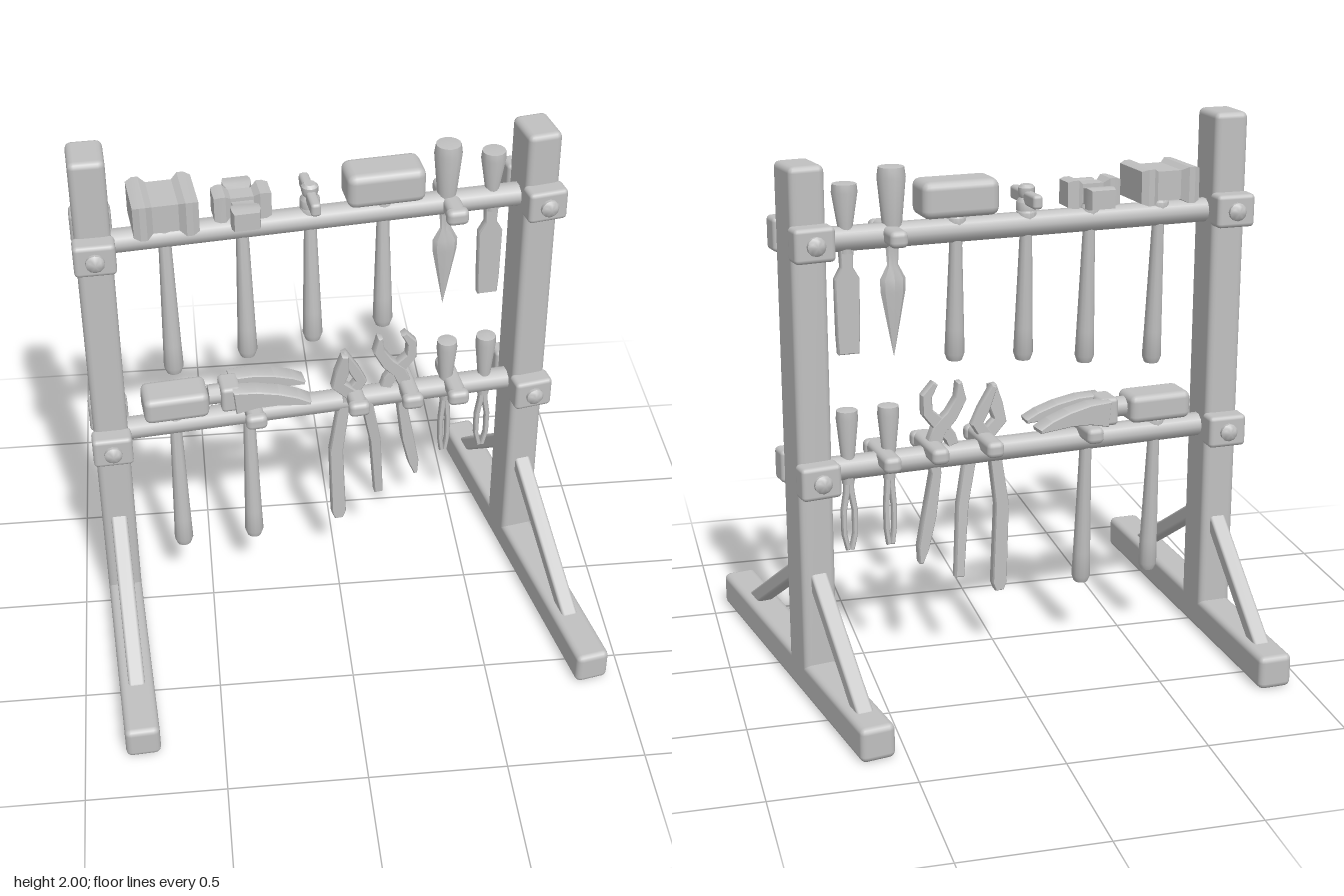
import * as THREE from 'three';
import { toCreasedNormals } from 'three/addons/utils/BufferGeometryUtils.js';
import { RoundedBoxGeometry } from 'three/addons/geometries/RoundedBoxGeometry.js';

const grey = new THREE.MeshStandardMaterial({ color: 0xc0c0c0 });
const UPPER = 1.64, LOWER = 0.82, SKEW = 0.114;
const barZ = (x) => -0.04 - 0.115 * (x + 0.845);

function add(parent, name, geometry, x = 0, y = 0, z = 0, rx = 0, ry = 0, rz = 0) {
  const m = new THREE.Mesh(geometry, grey);
  m.name = name;
  m.position.set(x, y, z);
  m.rotation.set(rx, ry, rz);
  parent.add(m);
  return m;
}
const block = (w, h, d, r = 0.015) => new RoundedBoxGeometry(w, h, d, 2, r);

// turned profile: [radius, y] from bottom to top
const turned = (pts, sides = 14) =>
  toCreasedNormals(new THREE.LatheGeometry(pts.map((p) => new THREE.Vector2(...p)), sides), 0.7);

// flat bar following [x, y, halfWidth] points, centred on z
function strip(pts, depth) {
  const left = [], right = [];
  pts.forEach(([x, y, w], i) => {
    const a = pts[Math.max(i - 1, 0)], b = pts[Math.min(i + 1, pts.length - 1)];
    const dx = b[0] - a[0], dy = b[1] - a[1], l = Math.hypot(dx, dy);
    left.push(new THREE.Vector2(x - (dy / l) * w, y + (dx / l) * w));
    right.unshift(new THREE.Vector2(x + (dy / l) * w, y - (dx / l) * w));
  });
  const g = new THREE.ExtrudeGeometry(new THREE.Shape([...left, ...right]), {
    depth: depth - 0.012, bevelThickness: 0.006, bevelSize: 0.004, bevelOffset: -0.003, bevelSegments: 1,
  });
  g.translate(0, 0, 0.006 - depth / 2);
  return toCreasedNormals(g, 0.6);
}

// head along x with flared, chamfered ends and a narrow waist
function flaredHead(w, h, d, waist) {
  const g = new THREE.BoxGeometry(w, h, d, 10, 1, 1), p = g.attributes.position;
  for (let i = 0; i < p.count; i++) {
    const t = Math.abs(p.getX(i)) / (w / 2);
    const s = t > 0.95 ? 0.88 : t > 0.5 ? 1 : waist;
    p.setY(i, p.getY(i) * s);
    p.setZ(i, p.getZ(i) * s);
  }
  return toCreasedNormals(g, 0.5);
}

// post with foot, braces and clamps
function buildStand(parent, name, x, z, turn, height) {
  const g = new THREE.Group();
  g.name = name;
  g.position.set(x, 0, z);
  g.rotation.y = turn;
  add(g, 'post', block(0.125, height - 0.04, 0.17, 0.022), 0, height / 2 + 0.02, 0);
  add(g, 'foot', block(0.125, 0.125, 1.48, 0.022), 0, 0.0625, 0.12);
  for (const [end, side] of [[0.62, 1], [-0.49, -1]]) {
    const z0 = side * 0.06, dz = end - z0, dy = 0.10 - 0.455;
    add(g, 'brace', block(0.06, 0.055, Math.hypot(dz, dy), 0.01),
      0, (0.10 + 0.455) / 2, (z0 + end) / 2, Math.atan2(-dy, dz));
  }
  for (const y of [1.655, 0.825]) for (const s of [1, -1]) {
    add(g, 'clamp', block(0.145, 0.12, 0.08, 0.016), 0, y, s * 0.107);
    add(g, 'bolt', turned([[0.033, 0], [0.033, 0.014], [0.022, 0.024], [0, 0.028]], 12),
      0, y, s * 0.145, s * Math.PI / 2);
  }
  parent.add(g);
}

// group for a tool standing on the rack line at x
function tool(parent, name, x) {
  const g = new THREE.Group();
  g.name = name;
  g.position.set(x, 0, barZ(x));
  g.rotation.y = SKEW;
  parent.add(g);
  return g;
}

// hammer handle hanging below a rail, with a collar above it
function hammerHandle(g, railY, bottom) {
  const L = railY - bottom;
  add(g, 'handle', turned([[0, -L], [0.027, -L], [0.036, -L + 0.025], [0.033, -L + 0.12], [0.023, -0.06],
    [0.023, 0.01], [0.036, 0.02], [0.036, 0.045], [0.025, 0.06], [0.025, 0.09], [0, 0.09]]), 0, railY, 0, -0.05);
}
const peg = (g, y, x = 0) => {
  add(g, 'peg', block(0.065, 0.06, 0.25, 0.02), x, y, 0);
  add(g, 'pegKnob', block(0.08, 0.06, 0.05, 0.02), x, y, 0.11);
};

export function createModel() {
  const root = new THREE.Group();
  root.name = 'toolRack';
  buildStand(root, 'rightStand', -0.845, -0.04, 0.065, 2.0);
  buildStand(root, 'leftStand', 0.72, -0.225, 0.197, 1.91);

  // rails
  for (const y of [UPPER, LOWER])
    add(root, 'rail', new THREE.CylinderGeometry(0.044, 0.044, 1.58, 10), -0.0625, y, barZ(-0.0625), 0, SKEW, Math.PI / 2);

  // upper row: four hammers
  let g = tool(root, 'sledgeHammer', -0.6);
  hammerHandle(g, UPPER, 1.075);
  add(g, 'head', flaredHead(0.225, 0.13, 0.21, 0.8), 0, 1.755, 0);

  g = tool(root, 'crossHammer', -0.33);
  hammerHandle(g, UPPER, 1.105);
  add(g, 'head', flaredHead(0.2, 0.1, 0.09, 0.68), 0, 1.738, 0);
  add(g, 'crossHead', flaredHead(0.25, 0.075, 0.1, 0.75), 0, 1.73, 0, 0, Math.PI / 2);

  g = tool(root, 'smallHammer', -0.09);
  hammerHandle(g, UPPER, 1.14);
  add(g, 'head', block(0.036, 0.05, 0.23, 0.012), 0, 1.735, 0);
  add(g, 'headCentre', turned([[0.036, 1.69], [0.036, 1.72], [0.025, 1.735], [0.03, 1.75], [0.03, 1.77], [0.02, 1.78], [0, 1.78]]));

  g = tool(root, 'mallet', 0.17);
  hammerHandle(g, UPPER, 1.165);
  add(g, 'head', block(0.28, 0.13, 0.15, 0.03), 0, 1.757, 0);

  // upper row: pointed and flat blades
  g = tool(root, 'pointTool', 0.4);
  add(g, 'handle', turned([[0, 1.6], [0.03, 1.6], [0.035, 1.68], [0.05, 1.84], [0.045, 1.875], [0, 1.88]]));
  add(g, 'blade', turned([[0, 1.205], [0.045, 1.44], [0.046, 1.485], [0.02, 1.535], [0.024, 1.6], [0, 1.6]], 8)).scale.z = 0.5;
  peg(g, 1.645, 0.01);

  g = tool(root, 'chisel', 0.565);
  add(g, 'handle', turned([[0, 1.59], [0.025, 1.59], [0.026, 1.68], [0.045, 1.8], [0.042, 1.828], [0, 1.832]]));
  add(g, 'blade', strip([[0, 1.235, 0.036], [0, 1.3, 0.04], [0, 1.5, 0.043], [0, 1.54, 0.02], [0, 1.61, 0.024]], 0.035));

  // lower row: block hammer and claw hammer
  g = tool(root, 'blockHammer', -0.605);
  hammerHandle(g, LOWER, 0.25);
  add(g, 'head', block(0.24, 0.105, 0.14, 0.025), 0.003, 0.922, 0);

  g = tool(root, 'clawHammer', -0.33);
  hammerHandle(g, LOWER, 0.24);
  add(g, 'face', new THREE.CylinderGeometry(0.038, 0.038, 0.1, 12), -0.1, 0.925, 0, 0, 0, Math.PI / 2);
  add(g, 'head', block(0.075, 0.105, 0.11, 0.015), -0.07, 0.923, 0);
  for (const s of [1, -1])
    add(g, 'claw', strip([[-0.06, 0.925, 0.048], [0.02, 0.932, 0.037], [0.1, 0.925, 0.027], [0.17, 0.91, 0.018], [0.22, 0.895, 0.007]], 0.07),
      0, 0, s * 0.05, 0, -s * 0.06);
  peg(g, 0.86, 0.01);

  // lower row: closed pincers
  g = tool(root, 'pincers', 0.05);
  add(g, 'rightArm', strip([[-0.025, 1.055, 0.012], [-0.035, 0.98, 0.026], [-0.05, 0.92, 0.025], [0.0, 0.87, 0.024],
    [0.065, 0.8, 0.022], [0.1, 0.62, 0.02], [0.12, 0.345, 0.016]], 0.04), 0, 0, -0.025, 0.06).position.y = 0.002;
  add(g, 'leftArm', strip([[-0.025, 1.055, 0.01], [0.015, 0.97, 0.02], [0.04, 0.92, 0.022], [0.0, 0.86, 0.024],
    [-0.03, 0.78, 0.022], [-0.055, 0.6, 0.025], [-0.045, 0.29, 0.027], [-0.045, 0.26, 0.015]], 0.04), 0, 0, 0.02);
  peg(g, 0.855, 0.015);

  // lower row: open tongs
  g = tool(root, 'tongs', 0.24);
  add(g, 'rightJaw', strip([[-0.075, 1.09, 0.008], [-0.08, 1.03, 0.02], [-0.045, 0.97, 0.023], [0, 0.925, 0.026], [0.03, 0.85, 0.025],
    [0.015, 0.76, 0.018], [0.04, 0.6, 0.023], [0.065, 0.48, 0.02], [0.075, 0.42, 0.006]], 0.045));
  add(g, 'leftJaw', strip([[0.015, 1.095, 0.01], [0.047, 1.05, 0.018], [0.045, 0.99, 0.02], [0.0, 0.94, 0.025],
    [-0.04, 0.89, 0.022], [-0.05, 0.86, 0.02]], 0.04));
  peg(g, 0.855, 0.03);

  // lower row: two split-point tools
  for (const [name, x, w] of [['smallTweezer', 0.425, 0.014], ['largeTweezer', 0.575, 0.02]]) {
    g = tool(root, name, x);
    add(g, 'handle', turned([[0, 0.76], [0.022, 0.76], [0.026, 0.87], [0.039, 1.0], [0.037, 1.03], [0, 1.038]]));
    for (const s of [1, -1])
      add(g, 'prong', strip([[s * 0.007, 0.78, 0.009], [s * 0.008, 0.73, 0.01], [s * w, 0.66, 0.009],
        [s * w, 0.57, 0.008], [s * 0.006, 0.51, 0.008]], 0.026));
    if (w < 0.015) peg(g, 0.845, 0.02);
  }
  return root;
}
